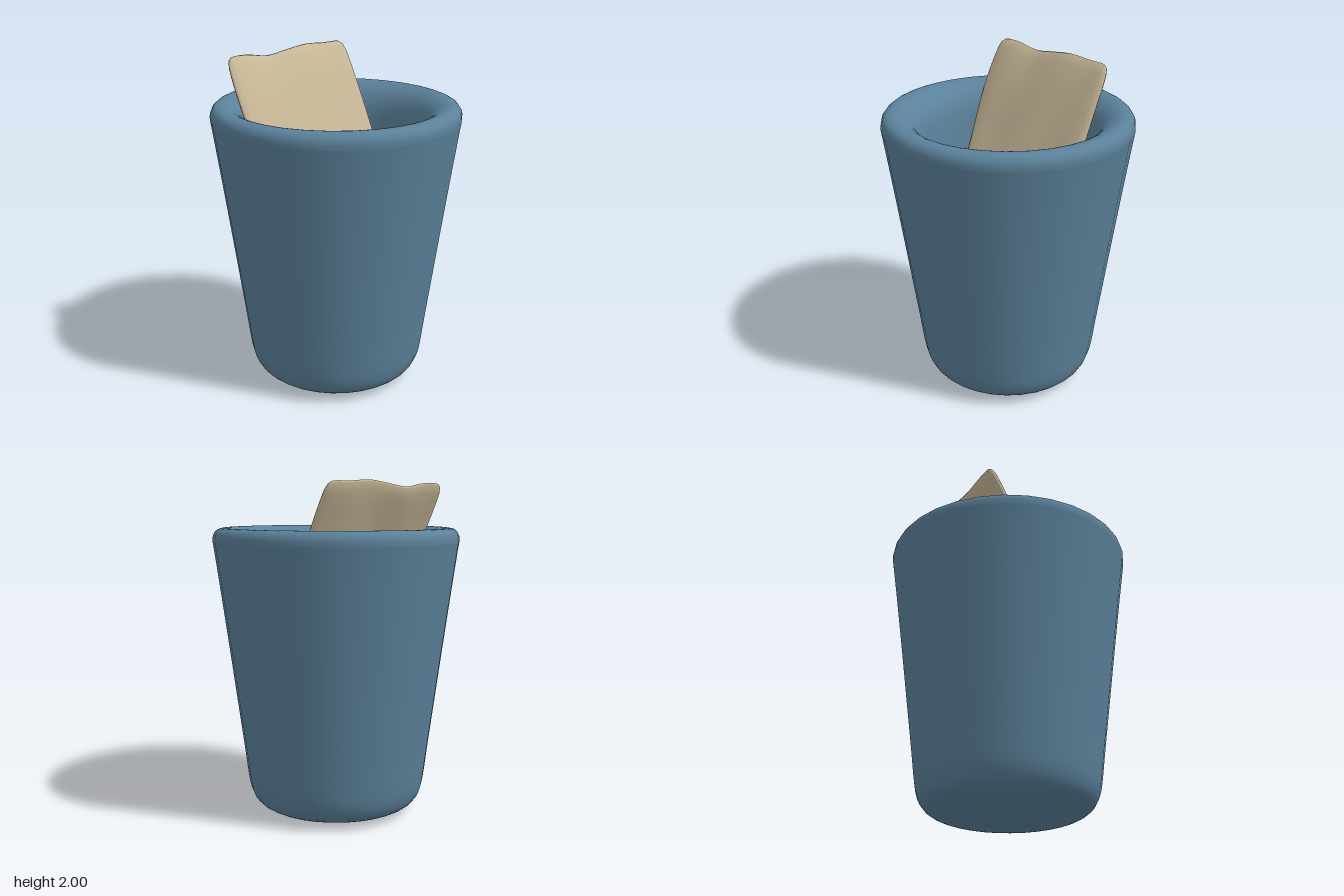
import * as THREE from 'three';
import { mergeVertices } from 'three/addons/utils/BufferGeometryUtils.js';

const v2 = (p) => new THREE.Vector2(p[0], p[1]);
const curve = (pts) => new THREE.CatmullRomCurve3(pts.map((p) => new THREE.Vector3(...p)));

// Thick-walled tapered cup: one profile up the outside, over the lip and down inside
function makeCup() {
  const profile = [
    [0, 0.005], [0.2, 0.01], [0.36, 0.022], [0.44, 0.04], [0.495, 0.08], [0.525, 0.14], [0.542, 0.22],
    [0.565, 0.4], [0.605, 0.7], [0.645, 1.0], [0.69, 1.33], [0.728, 1.6], [0.735, 1.65],
    [0.73, 1.69], [0.705, 1.72], [0.66, 1.728], [0.61, 1.712], [0.56, 1.675], [0.52, 1.61], [0.497, 1.52],
    [0.475, 1.33], [0.46, 1.1], [0.45, 0.8], [0.445, 0.52], [0.42, 0.34], [0.36, 0.24], [0.25, 0.195], [0, 0.18],
  ].map(v2);
  const points = new THREE.SplineCurve(profile).getPoints(81);
  points.forEach((p) => { p.x = Math.max(p.x, 0); });
  points[0].x = points[points.length - 1].x = 0;
  return new THREE.Mesh(
    new THREE.LatheGeometry(points, 32),
    new THREE.MeshStandardMaterial({ color: 0x5b819a }),
  );
}

// Gently uneven slab leaning in the cup, spanned between its two side edges
function makeSheet() {
  const leftEdge = curve([
    [-0.61, 1.968, 0.17], [-0.505, 1.73, 0.248], [-0.35, 1.38, 0.315],
    [-0.15, 1.0, 0.382], [-0.01, 0.78, 0.39], [0.065, 0.66, 0.375],
  ]);
  const rightEdge = curve([
    [-0.11, 1.985, -0.56], [0.005, 1.73, -0.495], [0.12, 1.45, -0.428],
    [0.215, 1.2, -0.378], [0.325, 0.9, -0.225], [0.375, 0.66, -0.075],
  ]);
  const topWave = new THREE.SplineCurve(
    [[0, 0.02], [0.08, 0.016], [0.25, -0.006], [0.45, 0.008], [0.65, 0.022], [0.85, 0.014], [1, 0.012]].map(v2),
  );
  const normal = new THREE.Vector3(0.72, 0.47, 0.51).normalize();

  let geo = new THREE.BoxGeometry(1, 1, 1, 28, 28, 2);
  geo.deleteAttribute('uv');
  geo.deleteAttribute('normal');
  geo = mergeVertices(geo);
  const pos = geo.attributes.position;
  const p = new THREE.Vector3();
  for (let i = 0; i < pos.count; i++) {
    const a = pos.getX(i) * 2, b = pos.getY(i) * 2, side = pos.getZ(i) * 2;
    // Corners and rim are pulled in slightly to round them
    const pull = (1 - 0.03 * Math.pow(Math.min(Math.abs(a), Math.abs(b)), 20)) * (1 - 0.012 * Math.abs(side));
    const u = (a * pull + 1) / 2, v = (1 - b * pull) / 2;
    p.copy(leftEdge.getPoint(v)).lerp(rightEdge.getPoint(v), u);
    p.y += topWave.getPoint(u).y * Math.max(0, 1 - v * 4);
    const ripple = 0.004 * Math.sin(u * 13 + v * 5);
    const edge = Math.max(Math.abs(a), Math.abs(b));
    const half = 0.024 * (1 - 0.45 * Math.pow(edge, 10));
    p.addScaledVector(normal, ripple + side * half);
    pos.setXYZ(i, p.x, p.y, p.z);
  }
  geo.computeVertexNormals();
  return new THREE.Mesh(geo, new THREE.MeshStandardMaterial({ color: 0xc8b898 }));
}

export function createModel() {
  const group = new THREE.Group();
  const cup = makeCup();
  cup.name = 'cup';
  const sheet = makeSheet();
  sheet.name = 'leaningSheet';
  group.add(cup, sheet);
  return group;
}
